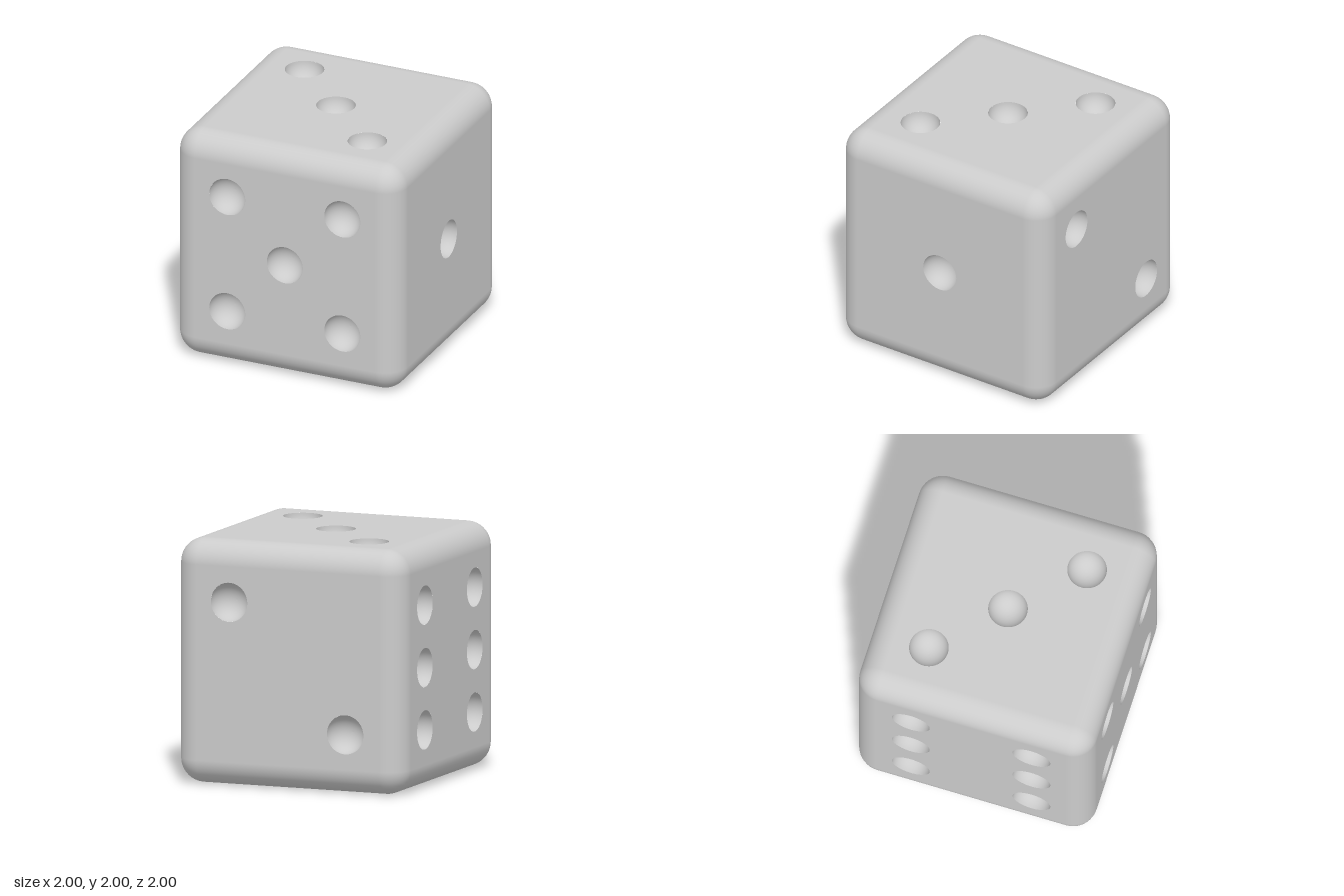
import * as THREE from 'three';

const HALF = 1;            // half the side of the cube
const R = 0.2;             // rounding of edges and corners
const FLAT = HALF - R;     // half the side of a flat face
const PIP = 0.16;          // pip radius
const SEG = 48;            // sides of a pip
const P = 0.51;            // pip offset from the face centre

const material = new THREE.MeshStandardMaterial({ color: 0xcccccc });

function addMesh(parent, name, geometry, x = 0, y = 0, z = 0) {
  const mesh = new THREE.Mesh(geometry, material);
  mesh.name = name;
  mesh.position.set(x, y, z);
  parent.add(mesh);
  return mesh;
}

// Hemispherical bowl, open towards +z
function bowlGeometry() {
  const profile = [];
  for (let i = 0; i <= 14; i++) {
    const a = (i / 14) * Math.PI / 2;
    profile.push(new THREE.Vector2(i === 14 ? 0 : PIP * Math.cos(a), -PIP * Math.sin(a)));
  }
  return new THREE.LatheGeometry(profile, SEG).rotateX(Math.PI / 2);
}

// Flat face with round holes, each backed by a bowl
function makeFace(name, pips, bowl) {
  const face = new THREE.Group();
  face.name = name;
  const shape = new THREE.Shape([
    new THREE.Vector2(-FLAT, -FLAT), new THREE.Vector2(FLAT, -FLAT),
    new THREE.Vector2(FLAT, FLAT), new THREE.Vector2(-FLAT, FLAT),
  ]);
  for (const [x, y] of pips) {
    shape.holes.push(new THREE.Path().absarc(x, y, PIP, 0, Math.PI * 2, true));
    addMesh(face, 'pip', bowl, x, y, HALF);
  }
  addMesh(face, 'facePanel', new THREE.ShapeGeometry(shape, SEG), 0, 0, HALF);
  return face;
}

// Four parallel quarter-round edges along y
function makeEdges() {
  const edges = new THREE.Group();
  edges.name = 'roundedEdges';
  for (let k = 0; k < 4; k++) {
    const start = k * Math.PI / 2, mid = start + Math.PI / 4;
    addMesh(edges, 'edge',
      new THREE.CylinderGeometry(R, R, 2 * FLAT, 10, 1, true, start, Math.PI / 2),
      Math.sign(Math.sin(mid)) * FLAT, 0, Math.sign(Math.cos(mid)) * FLAT);
  }
  return edges;
}

export function createModel() {
  const die = new THREE.Group();
  die.name = 'die';
  const body = new THREE.Group();
  body.name = 'body';
  body.position.y = HALF;
  die.add(body);

  // Pip patterns
  const centre = [[0, 0]];
  const diagonal = [[-P, P], [P, -P]];
  const square = [...diagonal, [P, P], [-P, -P]];
  const Q = Math.PI / 2;
  const faces = [
    ['frontFace', [...square, ...centre], 0, 0],
    ['backFace', diagonal, 0, 2 * Q],
    ['rightFace', centre, 0, Q],
    ['leftFace', [...square, [-P, 0], [P, 0]], 0, -Q],
    ['topFace', [...diagonal, ...centre], -Q, 0],
    ['bottomFace', square, Q, 0],
  ];
  const bowl = bowlGeometry();
  for (const [name, pips, rx, ry] of faces) {
    const face = makeFace(name, pips, bowl);
    face.rotation.set(rx, ry, 0);
    body.add(face);
  }

  // Rounded edges along y, z and x
  for (const [rx, rz] of [[0, 0], [Q, 0], [0, Q]]) {
    const edges = makeEdges();
    edges.rotation.set(rx, 0, rz);
    body.add(edges);
  }

  // Eight spherical corners
  for (const top of [true, false]) {
    for (let k = 0; k < 4; k++) {
      const phi = k * Q, mid = phi + Q / 2;
      addMesh(body, 'corner',
        new THREE.SphereGeometry(R, 10, 10, phi, Q, top ? 0 : Q, Q),
        -Math.sign(Math.cos(mid)) * FLAT, top ? FLAT : -FLAT, Math.sign(Math.sin(mid)) * FLAT);
    }
  }
  return die;
}
